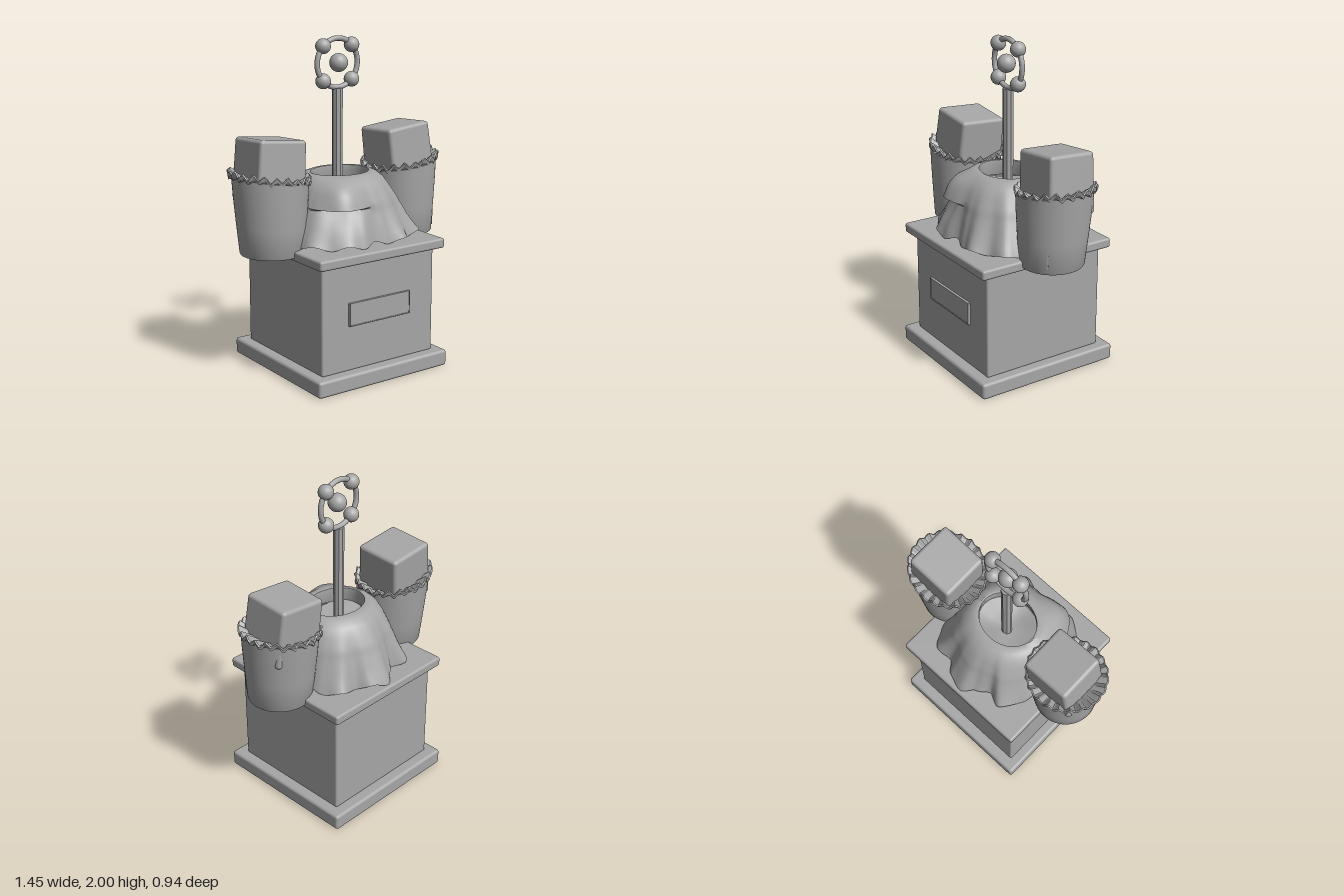
import * as THREE from 'three';
import { toCreasedNormals } from 'three/addons/utils/BufferGeometryUtils.js';
import { RoundedBoxGeometry } from 'three/addons/geometries/RoundedBoxGeometry.js';
import { ParametricGeometry } from 'three/addons/geometries/ParametricGeometry.js';

const TAU = Math.PI * 2;

export function createModel() {
  const root = new THREE.Group();
  const stone = new THREE.MeshStandardMaterial({ color: 0xa6a6a6, side: THREE.DoubleSide });
  stone.name = 'grey stone';

  function add(name, geometry, x = 0, y = 0, z = 0, parent = root) {
    const mesh = new THREE.Mesh(geometry, stone);
    mesh.name = name;
    mesh.position.set(x, y, z);
    parent.add(mesh);
    return mesh;
  }
  const block = (name, w, h, d, r, x, y, z, parent) =>
    add(name, new RoundedBoxGeometry(w, h, d, 3, r), x, y, z, parent);

  // Surface swept around the y axis, one ring per row; rule(angle, row) gives [x, y, z]
  function rings(rows, segments, crease, rule) {
    const g = new ParametricGeometry((u, v, target) => {
      const row = rows[Math.round(v * (rows.length - 1))];
      target.set(...rule((u % 1) * TAU, row));
    }, segments, rows.length - 1);
    return toCreasedNormals(g, crease);
  }

  // Pedestal
  block('basePlinth', 0.94, 0.1, 0.94, 0.018, 0.005, 0.05, 0);
  block('pedestalBody', 0.81, 0.66, 0.8, 0.012, 0.005, 0.425, 0);
  block('pedestalTop', 0.9, 0.06, 0.905, 0.014, 0.005, 0.775, 0.002);

  // Blank plaque with a narrow raised border
  const plaque = new THREE.Group();
  plaque.name = 'plaque';
  plaque.position.set(0.005, 0.44, 0.406);
  root.add(plaque);
  add('plaquePlate', new THREE.BoxGeometry(0.43, 0.13, 0.012), 0, 0, 0, plaque);
  for (const s of [-1, 1]) {
    add('plaqueBorderLong', new THREE.BoxGeometry(0.44, 0.006, 0.02), 0, s * 0.067, 0, plaque);
    add('plaqueBorderShort', new THREE.BoxGeometry(0.006, 0.14, 0.02), s * 0.217, 0, 0, plaque);
  }

  // Draped cloth: irregular folded hem rising to an oval opening
  const hemPoints = [
    [0.4, 0], [0.38, 0.1], [0.41, 0.19], [0.4, 0.27], [0.28, 0.31], [0.21, 0.385], [0.1, 0.37],
    [0.01, 0.35], [-0.1, 0.385], [-0.2, 0.375], [-0.28, 0.32], [-0.385, 0.24], [-0.4, 0.17],
    [-0.37, 0.08], [-0.39, 0], [-0.36, -0.1], [-0.335, -0.22], [-0.25, -0.35], [-0.15, -0.315],
    [-0.08, -0.37], [0, -0.43], [0.1, -0.4], [0.17, -0.33], [0.29, -0.33], [0.35, -0.23],
    [0.37, -0.1],
  ];
  const hem = hemPoints.map(([x, z]) => [(Math.atan2(z, x) + TAU) % TAU, Math.hypot(x, z)])
    .sort((a, b) => a[0] - b[0]);
  function hemRadius(a) {
    const n = hem.length;
    let i = hem.findIndex((p) => p[0] > a);
    if (i < 0) i = n;
    const p = hem[(i - 1 + n) % n], q = hem[i % n];
    const span = (q[0] - p[0] + TAU) % TAU;
    const t = ((a - p[0] + TAU) % TAU) / span;
    return THREE.MathUtils.lerp(p[1], q[1], t * t * (3 - 2 * t));
  }
  // Rows: height, spread from opening to hem, push of the overhanging fold
  const clothRows = [
    [1.1, 0.02, 0], [1.17, -0.04, 0], [1.197, -0.03, 0], [1.2, 0.02, 0], [1.185, 0.2, 0.01],
    [1.155, 0.38, 0.05], [1.11, 0.51, 0.06], [1.06, 0.62, 0.055], [1.03, 0.68, 0.05],
    [1.02, 0.69, -0.03], [0.98, 0.76, -0.025], [0.93, 0.83, 0], [0.87, 0.93, 0], [0.82, 1, 0],
  ];
  add('drapedCloth', rings(clothRows, 160, 0.7, (a, [y, f, push]) => {
    const c = Math.cos(a), s = Math.sin(a);
    const opening = 1 / Math.hypot(c / 0.19, s / 0.16);
    const outer = THREE.MathUtils.lerp(0.385, hemRadius(a), f * f);
    const fold = Math.exp(-(((a - 2.15) / 0.36) ** 2));
    const r = THREE.MathUtils.lerp(opening, outer, f) + push * fold;
    const wave = f > 0.95 ? 0.012 * Math.sin(a * 13) : 0;
    return [0.005 + r * c, y + wave, r * s];
  }));

  // Shallow crumpled hollow inside the opening
  add('clothHollow', rings([[1.1, 1], [1.08, 0.6], [1.06, 0]], 40, 0.5, (a, [y, k]) =>
    [0.005 + 0.195 * k * Math.cos(a), y + 0.012 * k * Math.sin(a * 3), 0.165 * k * Math.sin(a)]));

  // Staff with a ring and five balls
  const staff = new THREE.Group();
  staff.name = 'staff';
  staff.position.z = -0.015;
  root.add(staff);
  add('staffPole', toCreasedNormals(new THREE.CylinderGeometry(0.032, 0.032, 0.88, 8), 0.5),
    0, 1.25, 0, staff);
  add('staffRing', new THREE.TorusGeometry(0.144, 0.016, 12, 48), 0, 1.838, 0, staff);
  add('centreBall', new THREE.SphereGeometry(0.055, 24, 16), 0, 1.84, 0.012, staff);
  for (const sx of [-1, 1]) {
    for (const sy of [-1, 1]) {
      add('ringBall', new THREE.SphereGeometry(0.046, 20, 14), sx * 0.102, 1.838 + sy * 0.102, 0, staff);
    }
  }

  // Cups with a ruffled rim, each holding a leaning block
  // Rows: radius, height, share of the rim tilt and shift
  const cupRows = [
    [0, 0.77, 0], [0.187, 0.765, 0], [0.191, 0.772, 0], [0.205, 0.93, 0.4],
    [0.217, 1.08, 0.75], [0.224, 1.2, 1], [0.21, 1.2, 1], [0.19, 0.95, 0.5],
  ];
  // Rows: radius, height, ruffle strength
  const frillRows = [
    [0.221, 1.192, 0.3], [0.24, 1.2, 1], [0.246, 1.222, 1], [0.238, 1.228, 1],
    [0.19, 1.2, 0.7], [0.14, 1.17, 0.2],
  ];
  for (const s of [-1, 1]) {
    const side = s > 0 ? 'left' : 'right';
    const cup = new THREE.Group();
    cup.name = side + 'Cup';
    cup.position.x = s * 0.476;
    root.add(cup);
    add(side + 'CupBody', rings(cupRows, 64, 0.6, (a, [r, y, k]) =>
      [s * r * Math.cos(a), y + 0.03 * k * Math.cos(a), r * Math.sin(a) - 0.015 * k]), 0, 0, 0, cup);
    add(side + 'CupFrill', rings(frillRows, 176, 0.6, (a, [r, y, k]) => {
      const w = Math.sin(a * 22) + 0.3 * Math.sin(a * 9 + 1);
      const rr = r + 0.004 * k * Math.cos(a * 22);
      return [s * rr * Math.cos(a), y + 0.03 * Math.cos(a) + 0.014 * k * w,
        rr * 0.94 * Math.sin(a) - 0.02];
    }), 0, 0, 0, cup);
    const cube = block(side + 'CupBlock', 0.315, 0.36, 0.305, 0.022, -s * 0.008, 1.252, -0.032, cup);
    cube.rotation.set(-0.06, 0, s * 0.1);
    // Slight taper towards the top
    const p = cube.geometry.attributes.position;
    for (let i = 0; i < p.count; i++) {
      const k = 1 - 0.12 * p.getY(i);
      p.setX(i, p.getX(i) * k);
      p.setZ(i, p.getZ(i) * k);
    }
  }

  // Narrow seam on the left cup
  const seam = add('cupSeam', new THREE.BoxGeometry(0.008, 0.22, 0.008), 0.622, 0.91, 0.13);
  seam.rotation.set(0.03, 0.8, -0.06);

  return root;
}
